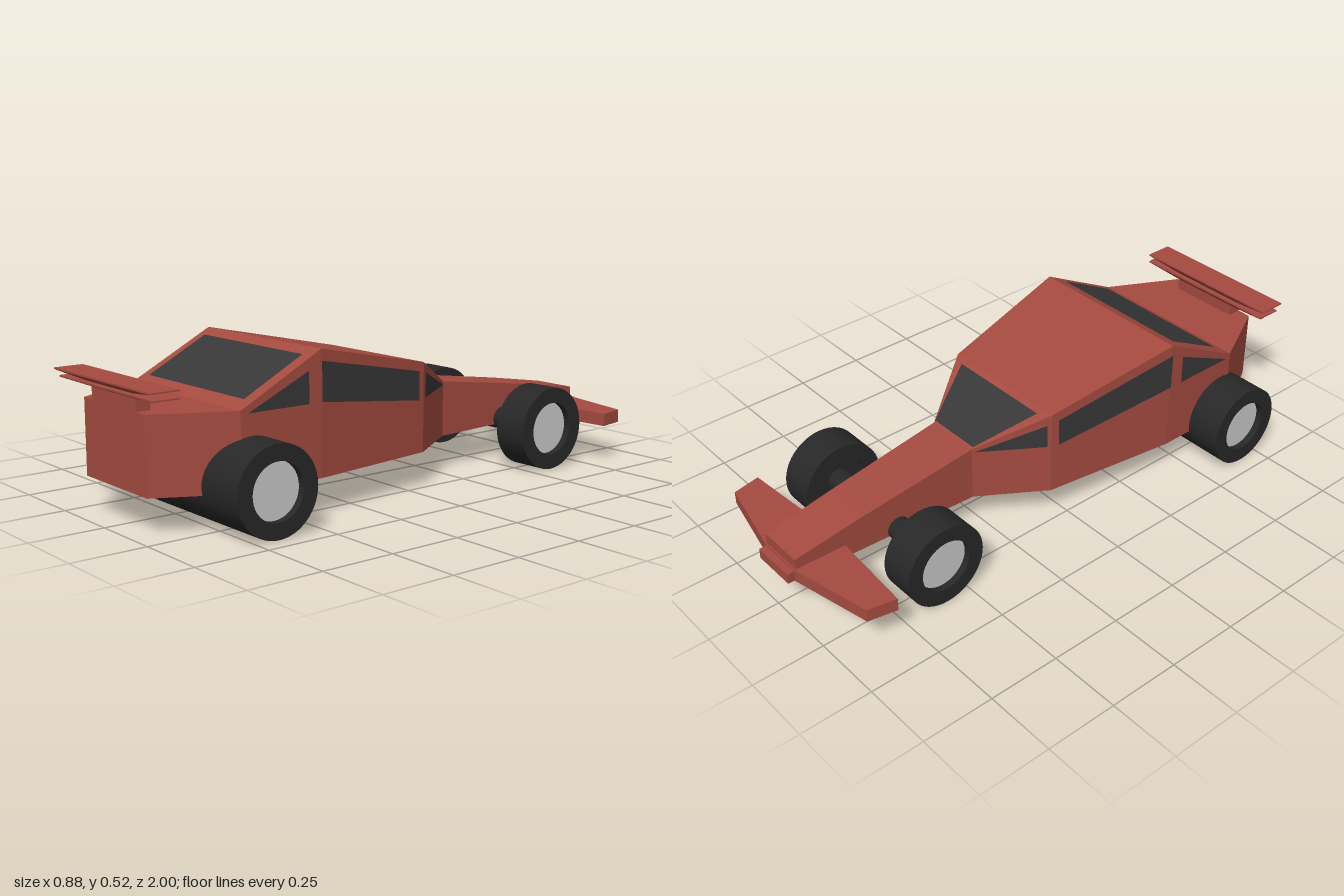
import * as THREE from 'three';
import { toCreasedNormals } from 'three/addons/utils/BufferGeometryUtils.js';

const paint = new THREE.MeshStandardMaterial({ color: 0xa54b40, flatShading: true });
const rubber = new THREE.MeshStandardMaterial({ color: 0x282828 });
const glass = new THREE.MeshStandardMaterial({ color: 0x383838, side: THREE.DoubleSide });
const metal = new THREE.MeshStandardMaterial({ color: 0xcccccc });

// Body stations from tail to nose: z, half width, bottom, top
const STATIONS = [
  [0.955, 0.18, 0.12, 0.37],
  [0.71, 0.31, 0.12, 0.37],
  [0.41, 0.31, 0.12, 0.525],
  [-0.07, 0.243, 0.12, 0.425],
  [-0.29, 0.1, 0.12, 0.315],
  [-0.72, 0.088, 0.128, 0.255],
  [-0.97, 0.082, 0.132, 0.215],
];

// Linear value of a station column at z (1 = half width, 3 = top)
function at(z, col) {
  let i = 0;
  while (i < STATIONS.length - 2 && z < STATIONS[i + 1][0]) i++;
  const a = STATIONS[i], b = STATIONS[i + 1];
  return a[col] + (b[col] - a[col]) * (z - a[0]) / (b[0] - a[0]);
}

// Flat-faced skin over four-cornered loops, counter-clockwise seen from the first end
function loft(loops) {
  const pos = [];
  const quad = (a, b, c, d) => [a, b, c, a, c, d].forEach((p) => pos.push(...p));
  for (let i = 0; i < loops.length - 1; i++) {
    const s = loops[i], t = loops[i + 1];
    for (let j = 0; j < 4; j++) {
      const k = (j + 1) % 4;
      quad(s[j], t[j], t[k], s[k]);
    }
  }
  quad(...loops[0]);
  quad(...[...loops[loops.length - 1]].reverse());
  const geo = new THREE.BufferGeometry();
  geo.setAttribute('position', new THREE.Float32BufferAttribute(pos, 3));
  geo.computeVertexNormals();
  return geo;
}

// Flat pane through coplanar corners
function pane(points) {
  const geo = new THREE.BufferGeometry().setFromPoints(points.map((p) => new THREE.Vector3(...p)));
  geo.setIndex(points.length === 3 ? [0, 1, 2] : [0, 1, 2, 0, 2, 3]);
  geo.computeVertexNormals();
  return geo;
}

// Wheel drum along x with dished ends
function drum(halfLength, radius, rim, dish) {
  const h = halfLength, d = h - dish;
  const profile = [[0, -d], [rim, -d], [rim, -h], [radius, -h], [radius, h], [rim, h], [rim, d], [0, d]];
  const geo = new THREE.LatheGeometry(profile.map((p) => new THREE.Vector2(...p)), 48);
  return toCreasedNormals(geo.rotateZ(-Math.PI / 2), 0.6);
}

// Wing blade: wide top narrowing to a small underside
function blade(x0, z0, z1, top, x1, z2, z3, bottom) {
  const rect = (x, a, b, y) => [[-x, y, b], [x, y, b], [x, y, a], [-x, y, a]];
  return loft([rect(x0, z0, z1, top), rect(x0, z0, z1, top - 0.005), rect(x1, z2, z3, bottom)]);
}

export function createModel() {
  const car = new THREE.Group();
  car.name = 'racingCar';
  const add = (name, geo, mat, x = 0, y = 0, z = 0) => {
    const mesh = new THREE.Mesh(geo, mat);
    mesh.name = name;
    mesh.position.set(x, y, z);
    car.add(mesh);
    return mesh;
  };

  // Body shell
  add('body', loft(STATIONS.map(([z, w, b, t]) => [[-w, b, z], [w, b, z], [w, t, z], [-w, t, z]])), paint);

  // Windscreen and rear window, lifted just off the shell
  const roof = (x, z) => [x, at(z, 3) + 0.004, z];
  add('windscreen', pane([roof(-0.195, -0.092), roof(0.195, -0.092), roof(0.1, -0.285), roof(-0.1, -0.285)]), glass);
  add('rearWindow', pane([roof(-0.27, 0.67), roof(0.27, 0.67), roof(0.27, 0.452), roof(-0.27, 0.452)]), glass);

  // Side windows as z, y outlines, mirrored
  const sideWindows = {
    DoorWindow: [[0.41, 0.36], [-0.045, 0.3], [-0.045, 0.398], [0.41, 0.488]],
    RearQuarterWindow: [[0.686, 0.36], [0.46, 0.36], [0.46, 0.463]],
    FrontQuarterWindow: [[-0.084, 0.303], [-0.285, 0.305], [-0.084, 0.388]],
  };
  for (const [side, s] of [['left', 1], ['right', -1]]) {
    for (const [name, outline] of Object.entries(sideWindows)) {
      const corners = outline.map(([z, y]) => [s * (at(z, 1) + 0.004), y, z]);
      add(side + name, pane(s > 0 ? corners : corners.reverse()), glass);
    }
  }

  // Rear roller, front wheels, hubs and axle
  const R = 0.145, rim = 0.092, dish = 0.03;
  const hub = new THREE.CylinderGeometry(rim, rim, 0.01, 48).rotateZ(Math.PI / 2);
  add('rearWheels', drum(0.44, R, rim, dish), rubber, 0, R, 0.67);
  add('frontAxle', new THREE.CylinderGeometry(0.04, 0.04, 0.5, 32).rotateZ(Math.PI / 2), rubber, 0, R, -0.59);
  for (const [side, s] of [['left', 1], ['right', -1]]) {
    add(side + 'FrontWheel', drum(0.063, R, rim, dish), rubber, s * 0.278, R, -0.59);
    add(side + 'FrontHub', hub, metal, s * (0.341 - dish), R, -0.59);
    add(side + 'RearHub', hub, metal, s * (0.44 - dish), R, 0.67);
  }

  // Front wing: swept plan outline, with a nose block ahead of it
  const half = [[0.08, 0.975], [0.37, 0.912], [0.39, 0.812], [0.09, 0.79]];
  const plan = [...half, ...half.map(([x, y]) => [-x, y]).reverse()];
  const wing = new THREE.ExtrudeGeometry(
    new THREE.Shape(plan.map((p) => new THREE.Vector2(...p))), { depth: 0.045, bevelEnabled: false });
  add('frontWing', wing.rotateX(-Math.PI / 2), paint, 0, 0.132, 0);
  add('noseBlock', new THREE.BoxGeometry(0.16, 0.036, 0.1), paint, 0, 0.153, -0.95);

  // Rear wing: two stacked blades on a pylon
  add('rearWingPylon', new THREE.BoxGeometry(0.26, 0.06, 0.05), paint, 0, 0.387, 0.93);
  add('lowerRearBlade', blade(0.28, 0.897, 0.985, 0.428, 0.13, 0.905, 0.955, 0.41), paint);
  add('upperRearBlade', blade(0.285, 0.9, 1.0, 0.453, 0.13, 0.915, 0.965, 0.427), paint);

  return car;
}
